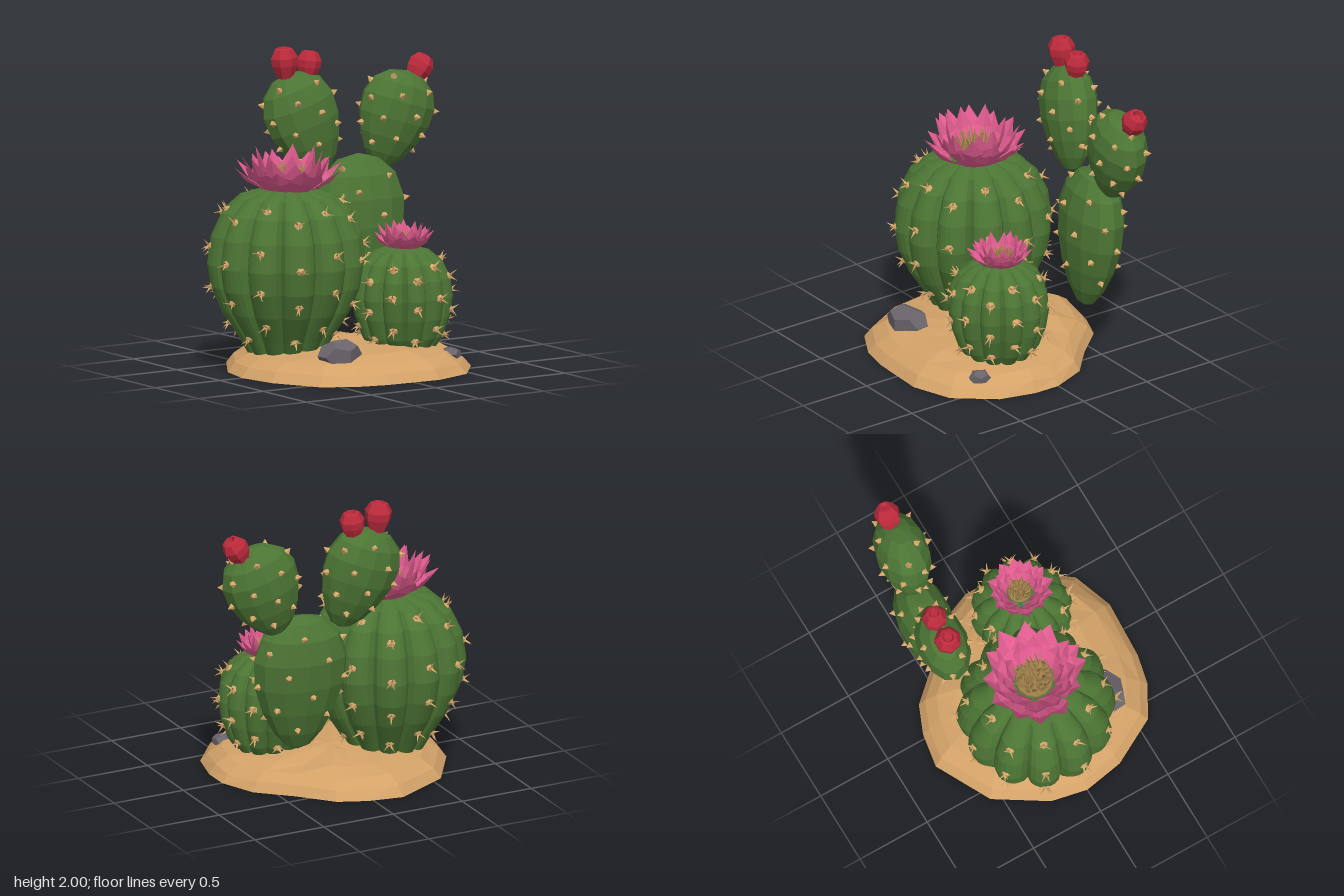
import * as THREE from 'three';
import { mergeGeometries } from 'three/addons/utils/BufferGeometryUtils.js';

const mat = (name, color, side = THREE.FrontSide) => {
  const m = new THREE.MeshStandardMaterial({ color, flatShading: true, side });
  m.name = name;
  return m;
};
const V = (x, y, z) => new THREE.Vector3(x, y, z);
const UP = V(0, 1, 0);

export function createModel() {
  const root = new THREE.Group();
  root.name = 'cactusGarden';
  const M = {
    green: mat('cactus green', 0x4c7534),
    sand: mat('sand', 0xd3a268),
    spine: mat('spine tan', 0xd6a66a),
    petal: mat('petal pink', 0xe25c90, THREE.DoubleSide),
    stamen: mat('stamen ochre', 0xa0804a),
    fruit: mat('fruit red', 0xbc2a3c),
    rock: mat('rock grey', 0x69636a),
  };
  let seed = 7;
  const rnd = () => (seed = (seed * 16807) % 2147483647) / 2147483647;
  const jit = (a) => (rnd() - 0.5) * 2 * a;

  const add = (parent, name, geo, material) => {
    const mesh = new THREE.Mesh(geo, material);
    mesh.name = name;
    parent.add(mesh);
    return mesh;
  };
  const group = (name, x, y, z) => {
    const g = new THREE.Group();
    g.name = name;
    g.position.set(x, y, z);
    root.add(g);
    return g;
  };
  // Cone starting just under pos and pointing along dir
  const spike = (pos, dir, r, len, sides = 4) => {
    const g = new THREE.ConeGeometry(r, len, sides);
    g.translate(0, len * 0.4, 0);
    g.applyQuaternion(new THREE.Quaternion().setFromUnitVectors(UP, dir.clone().normalize()));
    return g.translate(pos.x, pos.y, pos.z);
  };

  // Sand mound: shrinking rings of one outline, closed underneath
  const outline = [[0.72, 0], [0.72, 0.18], [0.66, 0.42], [0.46, 0.67], [0.19, 0.765], [-0.2, 0.745],
    [-0.4, 0.7], [-0.61, 0.58], [-0.78, 0.27], [-0.83, 0], [-0.78, -0.24], [-0.57, -0.57],
    [-0.2, -0.76], [0.03, -0.72], [0.22, -0.64], [0.41, -0.43], [0.62, -0.24]];
  const rings = [[1, 0], [0.94, 0.06], [0.83, 0.115], [0.64, 0.15], [0.3, 0.178]];
  const n = outline.length, pos = [], idx = [];
  rings.forEach(([s, y], i) => outline.forEach(([x, z]) =>
    pos.push(x * s, i ? y + jit(0.012) : 0, z * s)));
  pos.push(0, 0.19, -0.1, 0, 0, 0);
  const top = rings.length * n;
  for (let j = 0; j < n; j++) {
    const k = (j + 1) % n;
    for (let i = 0; i < rings.length - 1; i++) {
      const a = i * n + j, b = i * n + k;
      idx.push(a, a + n, b, b, a + n, b + n);
    }
    idx.push(top - n + j, top, top - n + k, j, k, top + 1);
  }
  const mound = new THREE.BufferGeometry();
  mound.setAttribute('position', new THREE.Float32BufferAttribute(pos, 3));
  mound.setIndex(idx);
  mound.computeVertexNormals();
  add(root, 'sandMound', mound, M.sand);

  // Rocks
  [[-0.355, 0.165, 0.42, 0.16, 0.105, 0.12], [0.48, 0.1, 0.45, 0.075, 0.045, 0.075]].forEach(
    ([x, y, z, sx, sy, sz], i) => {
      const rock = add(root, 'rock' + (i + 1), new THREE.DodecahedronGeometry(1), M.rock);
      rock.position.set(x, y, z);
      rock.scale.set(sx, sy, sz);
      rock.rotation.y = 0.1 + i;
    });

  // Flower: three rings of broad folded petals around a tuft of stamens
  const flower = (parent, y, s) => {
    const g = new THREE.Group();
    g.name = 'flower';
    g.position.set(0.02, y, 0);
    g.scale.setScalar(s);
    parent.add(g);
    const petals = [];
    // count, base radius, tip radius, tip height, half width
    [[12, 0.12, 0.335, 0.15, 0.078], [11, 0.115, 0.285, 0.2, 0.072], [9, 0.11, 0.215, 0.24, 0.06]].forEach(
      ([count, rb, rt, h, w], ring) => {
        for (let i = 0; i < count; i++) {
          const r = rt + jit(0.025), t = h + jit(0.025), rm = rb + (r - rb) * 0.62, ym = t * 0.5;
          const p = new THREE.BufferGeometry();
          p.setAttribute('position', new THREE.Float32BufferAttribute([
            rb, -0.03, -w * 0.5, rb, -0.03, w * 0.5, rm, ym, -w, rm + 0.012, ym - 0.02, 0,
            rm, ym, w, r, t, 0], 3));
          p.setIndex([0, 2, 3, 0, 3, 1, 1, 3, 4, 2, 5, 3, 3, 5, 4]);
          p.computeVertexNormals();
          petals.push(p.rotateY(((i + ring * 0.5) / count) * Math.PI * 2 + jit(0.12)));
        }
      });
    add(g, 'petals', mergeGeometries(petals), M.petal);
    const stamens = [new THREE.CylinderGeometry(0.12, 0.12, 0.04, 12)];
    for (let i = 0; i < 45; i++) {
      const r = 0.11 * Math.sqrt(i / 45), a = i * 2.4;
      const p = V(Math.cos(a) * r, 0.06, Math.sin(a) * r);
      stamens.push(spike(p, V(p.x * 3 + jit(0.4), 1, p.z * 3 + jit(0.4)), 0.014, 0.12));
    }
    add(g, 'stamens', mergeGeometries(stamens), M.stamen);
  };

  // Barrel cactus: lathe with twelve rounded ribs, spine clusters along the crests
  const barrel = (name, x, z, turn, profile, levels, flowerY, flowerScale) => {
    const g = group(name, x, 0, z);
    g.rotation.y = turn;
    const geo = new THREE.LatheGeometry(profile.map(([r, y]) => new THREE.Vector2(r, y)), 96);
    const p = geo.attributes.position;
    for (let i = 0; i < p.count; i++) {
      const a = Math.atan2(p.getZ(i), p.getX(i));
      const k = 0.85 + 0.155 * Math.pow(Math.abs(Math.cos(6 * a)), 0.6);
      p.setXYZ(i, p.getX(i) * k, p.getY(i), p.getZ(i) * k);
    }
    geo.computeVertexNormals();
    add(g, 'ribbedBody', geo, M.green);
    const radiusAt = (y) => {
      for (let i = 1; i < profile.length; i++) {
        const [r0, y0] = profile[i - 1], [r1, y1] = profile[i];
        if (y <= y1) return r0 + ((r1 - r0) * (y - y0)) / (y1 - y0);
      }
      return 0;
    };
    const spines = [];
    for (let k = 0; k < 12; k++) {
      const a = (k * Math.PI) / 6, c = Math.cos(a), s = Math.sin(a);
      levels.forEach((level) => {
        const y = level + (k % 2 ? 0.05 : -0.03) + jit(0.02), r = radiusAt(y);
        const at = V(c * r, y, s * r);
        const slope = (radiusAt(y - 0.03) - radiusAt(y + 0.03)) / 0.06;
        const out = V(c, Math.min(slope, 2), s).normalize();
        spines.push(spike(at, out, 0.03, 0.022, 6));
        for (let q = 0; q < 3; q++) {
          const b = (q * Math.PI * 2) / 3 + jit(0.8), side = Math.cos(b) * 0.9;
          const dir = V(out.x - s * side, out.y + Math.sin(b) * 0.9, out.z + c * side);
          spines.push(spike(at, dir, 0.012, 0.075, 3));
        }
      });
    }
    add(g, 'spines', mergeGeometries(spines), M.spine);
    flower(g, flowerY, flowerScale);
  };
  barrel('largeBarrelCactus', -0.4, -0.13, 0.12, [[0.001, 0.04], [0.23, 0.08], [0.31, 0.22],
    [0.42, 0.39], [0.49, 0.55], [0.515, 0.7], [0.49, 0.88], [0.42, 1.03], [0.31, 1.13], [0.15, 1.18],
    [0.001, 1.185]], [0.27, 0.5, 0.76, 1.02], 1.18, 1);
  barrel('smallBarrelCactus', 0.295, 0.17, Math.PI / 12, [[0.001, 0.07], [0.19, 0.09], [0.265, 0.2],
    [0.31, 0.33], [0.33, 0.46], [0.315, 0.58], [0.265, 0.68], [0.18, 0.75], [0.08, 0.78],
    [0.001, 0.785]], [0.23, 0.42, 0.62], 0.775, 0.62);

  // Flat pads, narrower toward the foot, dotted with short thorns
  const pad = (name, [x, y, z], [w, h, d], lean, tilt) => {
    const g = group(name, x, y, z);
    g.rotation.set(lean, -0.13, tilt, 'YXZ');
    const shape = (v) => {
      const k = (1 + 0.3 * v.y) / 1.04;
      return v.set(v.x * w * k, v.y * h, v.z * d * k);
    };
    const geo = new THREE.SphereGeometry(1, 12, 8);
    const p = geo.attributes.position, v = V(0, 0, 0);
    for (let i = 0; i < p.count; i++) {
      shape(v.fromBufferAttribute(p, i));
      p.setXYZ(i, v.x, v.y, v.z);
    }
    geo.computeVertexNormals();
    add(g, 'padBody', geo, M.green);
    const thorns = [];
    const count = 24;
    for (let i = 0; i < count; i++) {
      const t = 0.9 - (1.6 * i) / count, r = Math.sqrt(1 - t * t), a = i * 2.4;
      const u = V(Math.cos(a) * r, t, Math.sin(a) * r);
      const out = V(u.x / w, u.y / h, u.z / d);
      thorns.push(spike(shape(u).multiplyScalar(0.98), out, 0.024, 0.04, 5));
    }
    add(g, 'thorns', mergeGeometries(thorns), M.spine);
  };
  pad('lowerPad', [0.405, 0.805, -0.475], [0.32, 0.475, 0.18], -0.08, 0);
  pad('upperPadRight', [0.04, 1.49, -0.575], [0.26, 0.355, 0.17], -0.1, 0.32);
  pad('upperPadLeft', [0.67, 1.48, -0.49], [0.26, 0.325, 0.175], 0, -0.32);

  // Fruits with a small sunken crown
  const fruitProfile = [[0.001, 0], [0.05, 0.005], [0.085, 0.09], [0.09, 0.14], [0.06, 0.195],
    [0.04, 0.203], [0.028, 0.175], [0.001, 0.17]].map(([r, y]) => new THREE.Vector2(r, y));
  const fruitGeo = new THREE.LatheGeometry(fruitProfile, 7);
  [[-0.085, 1.795, -0.61, 0.08, 1], [0.075, 1.775, -0.6, -0.12, 0.92], [0.81, 1.71, -0.49, -0.6, 0.95]].forEach(
    ([x, y, z, tilt, s], i) => {
      const f = add(root, 'fruit' + (i + 1), fruitGeo, M.fruit);
      f.position.set(x, y, z);
      f.rotation.z = tilt;
      f.scale.setScalar(s);
    });
  return root;
}
